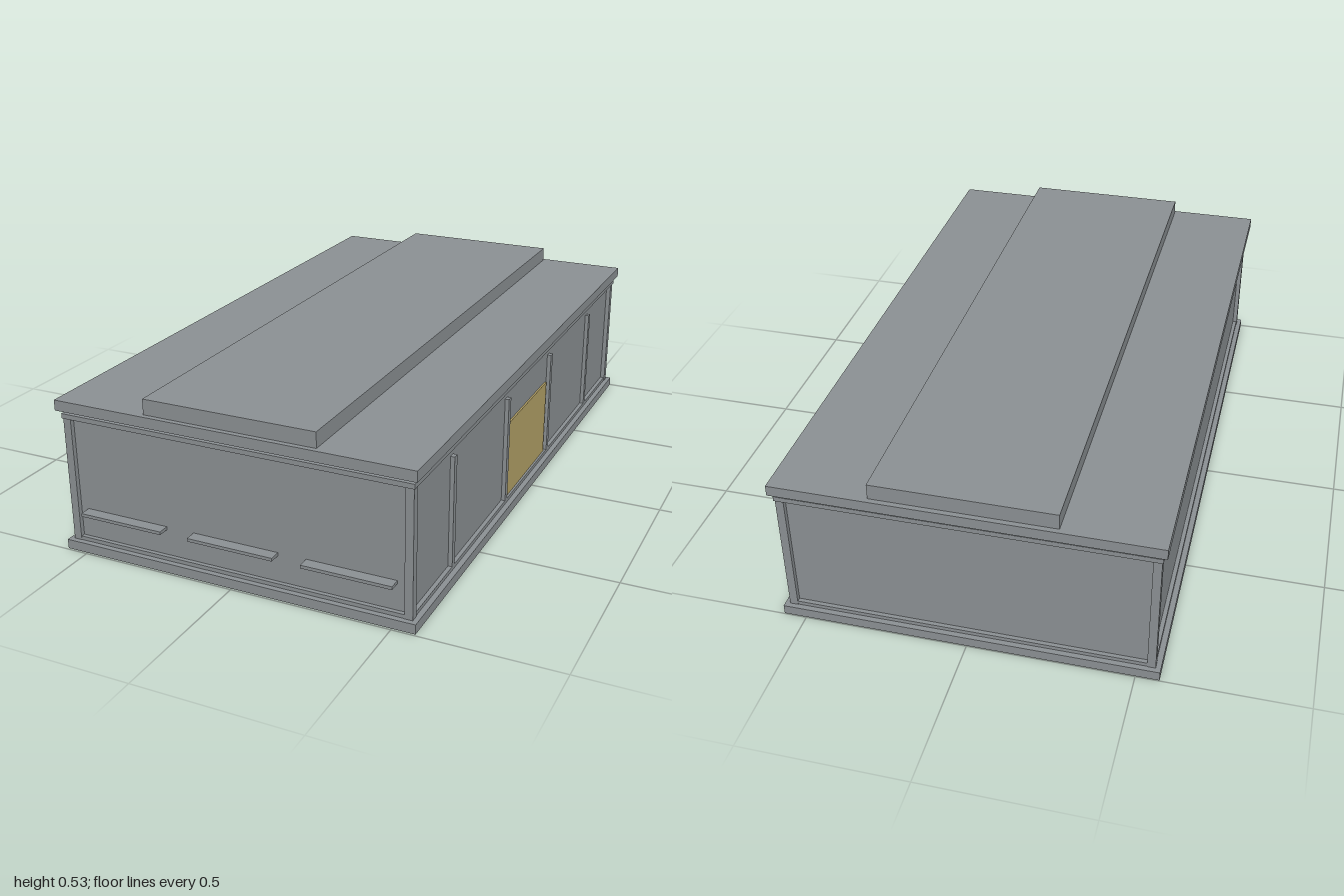
import * as THREE from 'three';

export function createModel() {
  const model = new THREE.Group();
  model.name = 'building';
  const grey = new THREE.MeshStandardMaterial({ color: 0x8c9194 });
  grey.name = 'concrete grey';
  const gold = new THREE.MeshStandardMaterial({ color: 0xb4a267 });
  gold.name = 'door gold';

  // Axis-aligned block given by its extents
  function block(name, [x0, x1], [y0, y1], [z0, z1], material = grey) {
    const mesh = new THREE.Mesh(new THREE.BoxGeometry(x1 - x0, y1 - y0, z1 - z0), material);
    mesh.position.set((x0 + x1) / 2, (y0 + y1) / 2, (z0 + z1) / 2);
    mesh.name = name;
    model.add(mesh);
  }
  const span = (half, centre = 0) => [centre - half, centre + half];
  const mid = -0.002;

  // Base, walls and top band
  block('baseSlab', span(0.57), [0, 0.03], span(0.996, mid));
  block('walls', span(0.54), [0.03, 0.43], span(0.966, mid));
  block('topBand', span(0.558), [0.425, 0.44], span(0.984, mid));
  block('bottomRail', span(0.553), [0.03, 0.042], span(0.979, mid));

  // Corner posts
  for (const sx of [-1, 1]) {
    for (const sz of [-1, 1]) {
      block('cornerPost', span(0.0125, sx * 0.5425), [0.03, 0.427], span(0.0125, sz * 0.968 + mid));
    }
  }

  // Roof slab sits just above the band, with a raised strip along its length
  block('roofSlab', span(0.57), [0.452, 0.485], span(0.996, mid));
  block('roofStrip', span(0.273), [0.485, 0.533], span(0.98, mid));

  // Narrow ledges on the front
  for (const x of [-0.367, 0, 0.365]) {
    block('frontLedge', span(0.138, x), [0.124, 0.134], [0.96, 1]);
  }

  // Entrance side: door and slim wall posts
  block('door', [0.539, 0.546], [0.03, 0.298], span(0.19), gold);
  for (const z of [-0.675, -0.215, 0.215, 0.675]) {
    block('sidePost', [0.535, 0.553], [0.03, 0.39], span(0.01, z));
  }
  return model;
}
